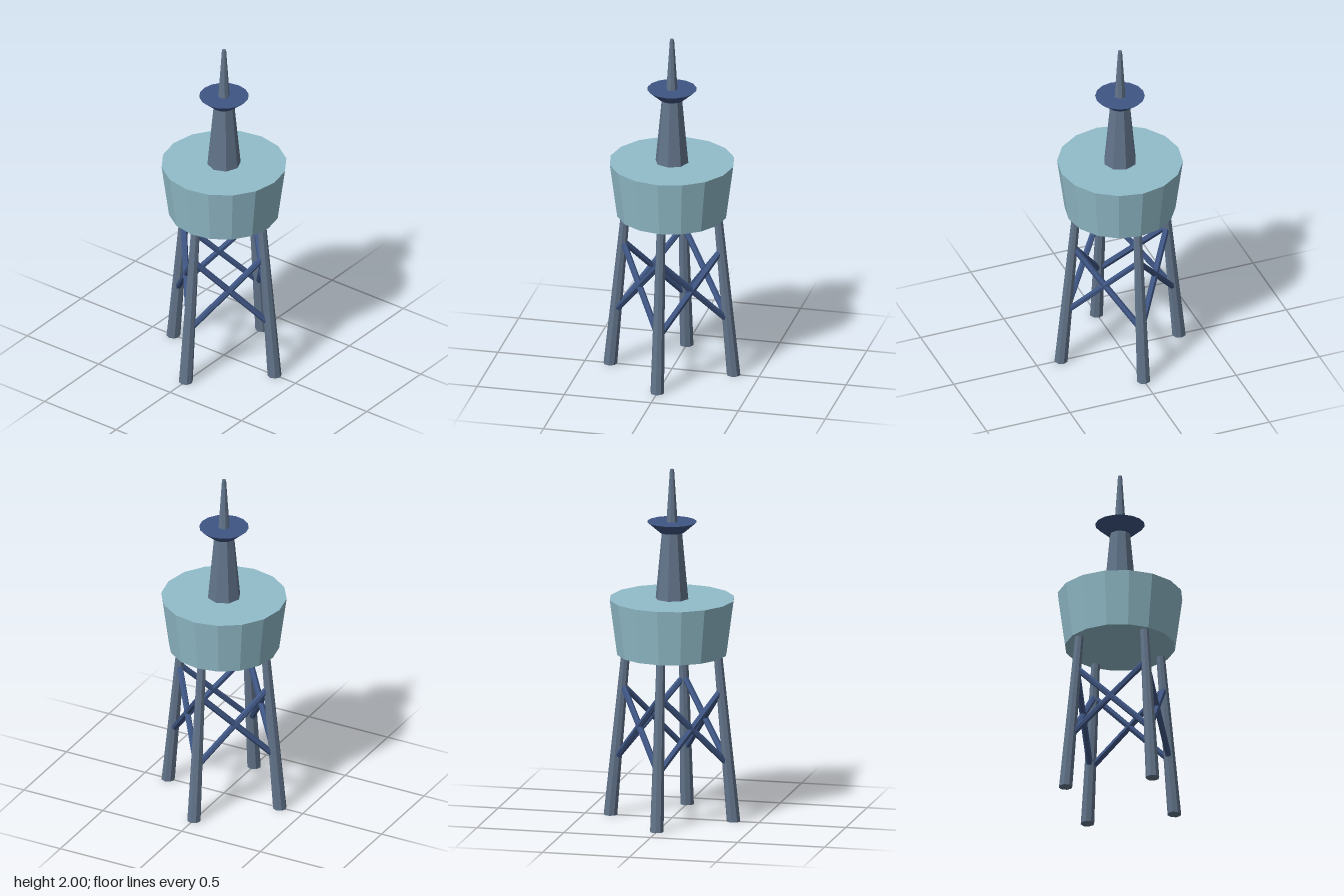
import * as THREE from 'three';

const mat = (color) => new THREE.MeshStandardMaterial({ color, flatShading: true });

export function createModel() {
  const model = new THREE.Group();
  const steel = mat(0x62748a);
  const navy = mat(0x3f5684);
  const paleBlue = mat(0x92bcca);

  const add = (name, geometry, material) => {
    const mesh = new THREE.Mesh(geometry, material);
    mesh.name = name;
    model.add(mesh);
    return mesh;
  };

  // Upright tapered drum between two heights
  const drum = (name, y0, y1, r0, r1, sides, material) => {
    const geometry = new THREE.CylinderGeometry(r1, r0, y1 - y0, sides);
    add(name, geometry.translate(0, (y0 + y1) / 2, 0), material);
  };

  // Straight bar between two points
  const bar = (name, a, b, radius, sides, material) => {
    const mesh = add(name, new THREE.CylinderGeometry(radius, radius, a.distanceTo(b), sides), material);
    mesh.position.addVectors(a, b).multiplyScalar(0.5);
    mesh.quaternion.setFromUnitVectors(new THREE.Vector3(0, 1, 0), b.clone().sub(a).normalize());
  };

  // Tank and the mast above it
  drum('tank', 0.945, 1.26, 0.31, 0.352, 16, paleBlue);
  drum('mast', 1.26, 1.64, 0.094, 0.058, 8, steel);
  drum('mastDish', 1.64, 1.7, 0.07, 0.139, 16, navy);
  drum('spire', 1.7, 2, 0.032, 0.012, 8, steel);

  // Point on the centre line of leg i at height y
  const legPoint = (i, y) => {
    const r = 0.354 - 0.094 * y;
    const a = (i * Math.PI) / 2;
    return new THREE.Vector3(Math.sin(a) * r, y, Math.cos(a) * r);
  };

  for (let i = 0; i < 4; i++) {
    // Tapered leg, sheared inward so that its foot stays flat
    const height = 0.95;
    const leg = new THREE.CylinderGeometry(0.025, 0.039, height, 8).translate(0, height / 2, 0);
    const p = leg.attributes.position;
    for (let v = 0; v < p.count; v++) p.setZ(v, p.getZ(v) + 0.354 - 0.094 * p.getY(v));
    add('leg', leg.rotateY((i * Math.PI) / 2), steel);

    // Crossed braces to the next leg
    bar('brace', legPoint(i, 0.325), legPoint(i + 1, 0.75), 0.018, 6, navy);
    bar('brace', legPoint(i, 0.75), legPoint(i + 1, 0.325), 0.018, 6, navy);
  }

  return model;
}
